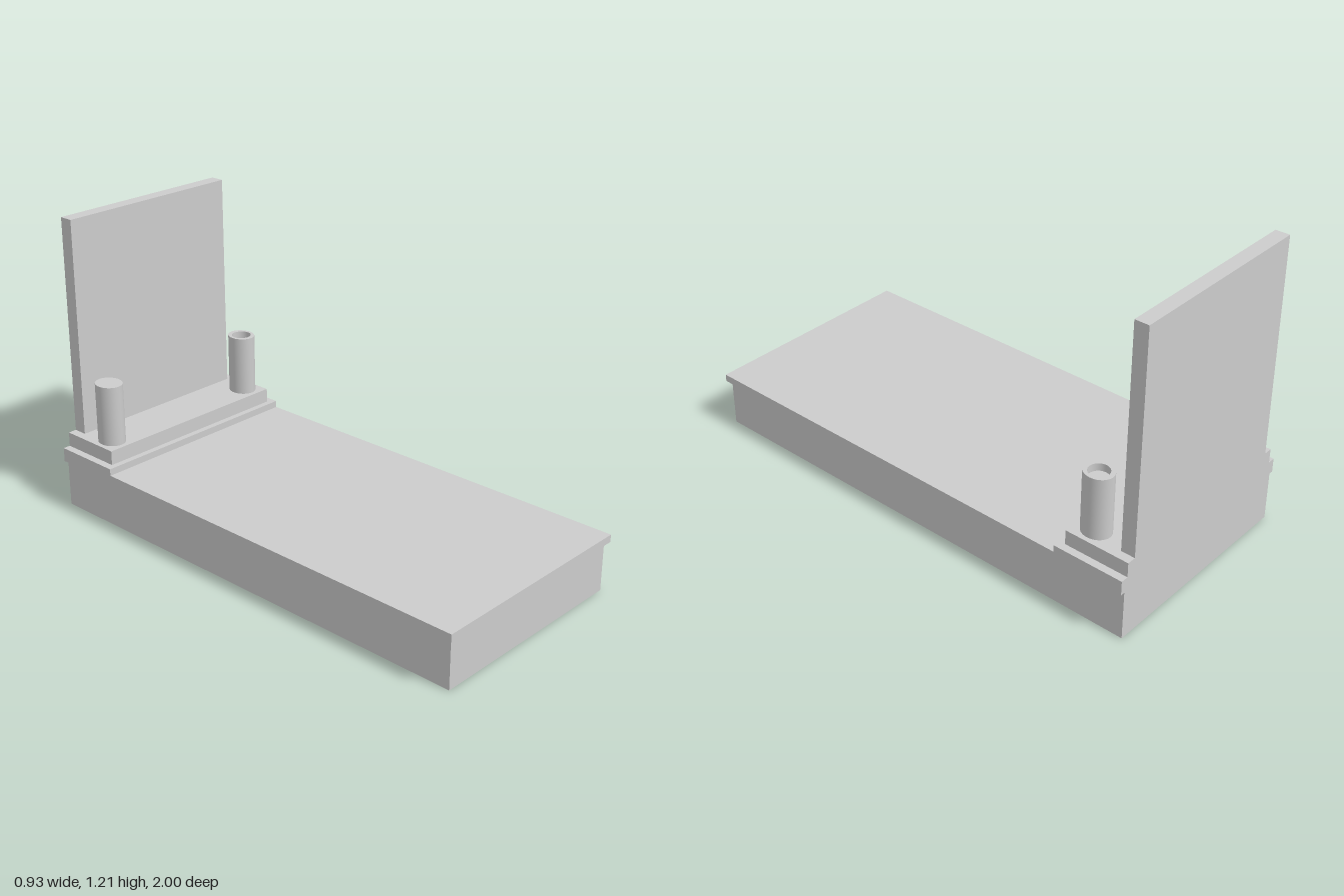
import * as THREE from 'three';

const material = new THREE.MeshStandardMaterial({ color: 0xcccccc });
const BACK = -1;

export function createModel() {
  const group = new THREE.Group();
  group.name = 'graveMonument';

  const add = (name, geometry) => {
    const mesh = new THREE.Mesh(geometry, material);
    mesh.name = name;
    group.add(mesh);
    return mesh;
  };

  // Block centred on x with its back face flush with the rear plane
  const block = (name, width, y0, y1, front) =>
    add(name, new THREE.BoxGeometry(width, y1 - y0, front - BACK))
      .position.set(0, (y0 + y1) / 2, (front + BACK) / 2);

  block('base', 0.892, 0, 0.2, 0.985);
  block('coverSlab', 0.928, 0.2, 0.23, 1);
  block('lowerStep', 0.928, 0.23, 0.258, -0.71);
  block('upperStep', 0.866, 0.258, 0.317, -0.735);
  block('headstone', 0.794, 0.317, 1.21, -0.943);

  // Slightly oval posts standing on the upper step
  const bottom = 0.317, top = 0.566, rx = 0.052, rz = 0.059;
  const postX = 0.363, postZ = -0.813;

  const lantern = add('lantern', new THREE.CylinderGeometry(1, 1, top - bottom, 48));
  lantern.scale.set(rx, 1, rz);
  lantern.position.set(-postX, (top + bottom) / 2, postZ);

  // Vase: outer wall with a round recess in its top
  const hole = 0.04, recess = 0.03;
  const wall = add('vaseWall', new THREE.CylinderGeometry(1, 1, top - bottom, 48, 1, true));
  wall.scale.set(rx, 1, rz);
  wall.position.set(postX, (top + bottom) / 2, postZ);

  const rimShape = new THREE.Shape().absellipse(0, 0, rx, rz, 0, Math.PI * 2);
  rimShape.holes.push(new THREE.Path().absarc(0, 0, hole, 0, Math.PI * 2, true));
  const rim = add('vaseRim', new THREE.ShapeGeometry(rimShape, 24).rotateX(-Math.PI / 2));
  rim.position.set(postX, top, postZ);

  // Points run from the rim inward so the faces look into the recess
  const inner = new THREE.CylinderGeometry(hole, hole, recess, 48, 1, true).scale(-1, 1, 1);
  const index = inner.index;
  inner.computeVertexNormals();
  const lining = add('vaseLining', inner);
  lining.position.set(postX, top - recess / 2, postZ);
  for (let i = 0; i < inner.attributes.normal.count; i++) {
    const p = inner.attributes.position;
    inner.attributes.normal.setXYZ(i, -p.getX(i) / hole, 0, -p.getZ(i) / hole);
  }
  index.needsUpdate = true;

  const floor = add('vaseFloor', new THREE.CircleGeometry(hole, 48).rotateX(-Math.PI / 2));
  floor.position.set(postX, top - recess, postZ);

  return group;
}
